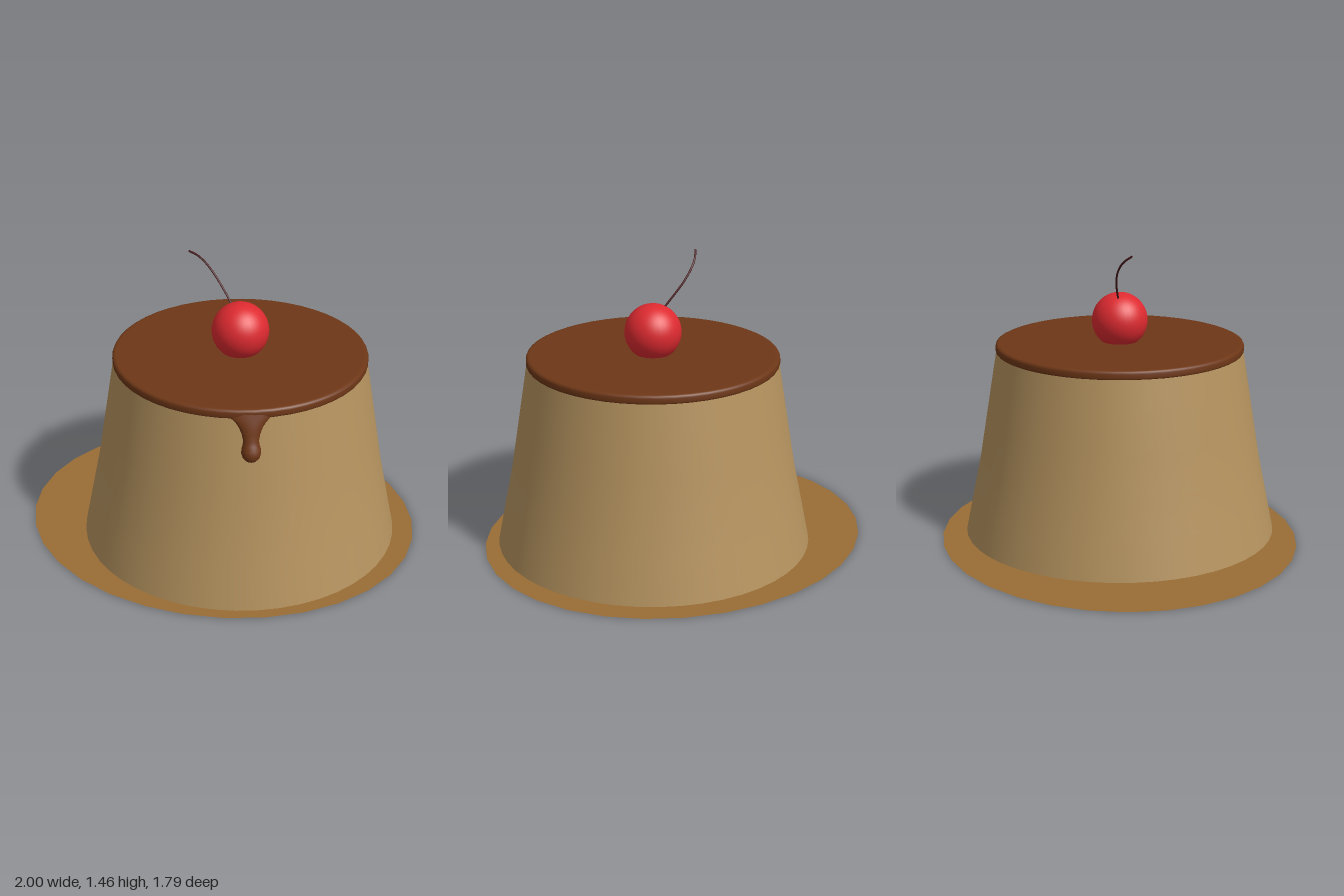
import * as THREE from 'three';

const CX = 0.11, CZ = 0.03;
const mat = (color, side = THREE.FrontSide) => new THREE.MeshStandardMaterial({ color, side });

function add(group, name, geometry, material, x = 0, y = 0, z = 0) {
  const mesh = new THREE.Mesh(geometry, material);
  mesh.name = name;
  mesh.position.set(x, y, z);
  group.add(mesh);
  return mesh;
}

const lathe = (pts, seg) => new THREE.LatheGeometry(pts.map(p => new THREE.Vector2(...p)), seg);

// Radius of the custard wall at height y
const wallRadius = y => y < 0.4 ? 0.79 - (y - 0.01) * 0.205 : 0.71 - (y - 0.4) * 0.164;

// Half-round strip running down the wall, from rows of [height, half width, thickness]
function dripGeometry(angle, rows, n = 12) {
  const pos = [], idx = [];
  rows.forEach(([y, w, t], r) => {
    const R = wallRadius(y) - 0.006;
    for (let i = 0; i <= n; i++) {
      const p = Math.PI * i / n;
      const a = angle - w * Math.cos(p) / R, d = R + t * Math.sin(p);
      pos.push(Math.sin(a) * d, y, Math.cos(a) * d);
      if (r && i) {
        const k = r * (n + 1) + i, up = k - n - 1;
        idx.push(up - 1, k - 1, k, up - 1, k, up);
      }
    }
  });
  const g = new THREE.BufferGeometry();
  g.setAttribute('position', new THREE.Float32BufferAttribute(pos, 3));
  g.setIndex(idx);
  g.computeVertexNormals();
  return g;
}

export function createModel() {
  const model = new THREE.Group();
  const caramel = mat(0x6e3717);

  // Flat oval plate
  const plate = add(model, 'plate', new THREE.CircleGeometry(1, 32), mat(0x996c34, THREE.DoubleSide));
  plate.rotation.x = -Math.PI / 2;
  plate.scale.y = 0.895;

  // Custard body
  const wall = [0.006, 0.2, 0.4, 0.6, 0.8, 0.96].map(y => [wallRadius(y), y]);
  add(model, 'custard', lathe(wall, 48), mat(0xb5935f, THREE.DoubleSide), CX, 0, CZ);

  // Caramel topping with a softly rounded rim
  const topping = [[0.6, 0.945], [0.621, 0.945], [0.624, 0.951], [0.624, 0.972],
    [0.62, 0.981], [0.612, 0.985], [0.6, 0.986], [0, 0.986]];
  add(model, 'caramelTopping', lathe(topping, 48), caramel, CX, 0, CZ);

  // Caramel drip ending in a bead
  const drip = dripGeometry(0.49, [
    [0.965, 0.105, 0.012], [0.945, 0.095, 0.016], [0.925, 0.072, 0.02], [0.9, 0.055, 0.024],
    [0.87, 0.043, 0.026], [0.84, 0.037, 0.028], [0.82, 0.039, 0.034], [0.8, 0.045, 0.042],
    [0.78, 0.046, 0.044], [0.76, 0.04, 0.039], [0.745, 0.026, 0.027], [0.736, 0.001, 0.001]]);
  add(model, 'caramelDrip', drip, caramel, CX, 0, CZ);

  // Cherry and its curved stem
  add(model, 'cherry', new THREE.SphereGeometry(0.14, 32, 24), mat(0xdd2a30), CX, 1.093, CZ);
  const curve = new THREE.CatmullRomCurve3([
    [0.06, 1.205, 0.012], [0.015, 1.26, -0.005], [-0.04, 1.325, -0.02],
    [-0.09, 1.385, -0.02], [-0.13, 1.43, -0.002], [-0.16, 1.46, 0.03]
  ].map(p => new THREE.Vector3(...p)));
  add(model, 'cherryStem', new THREE.TubeGeometry(curve, 24, 0.005, 8), mat(0x4a1a1c, THREE.DoubleSide));

  return model;
}
